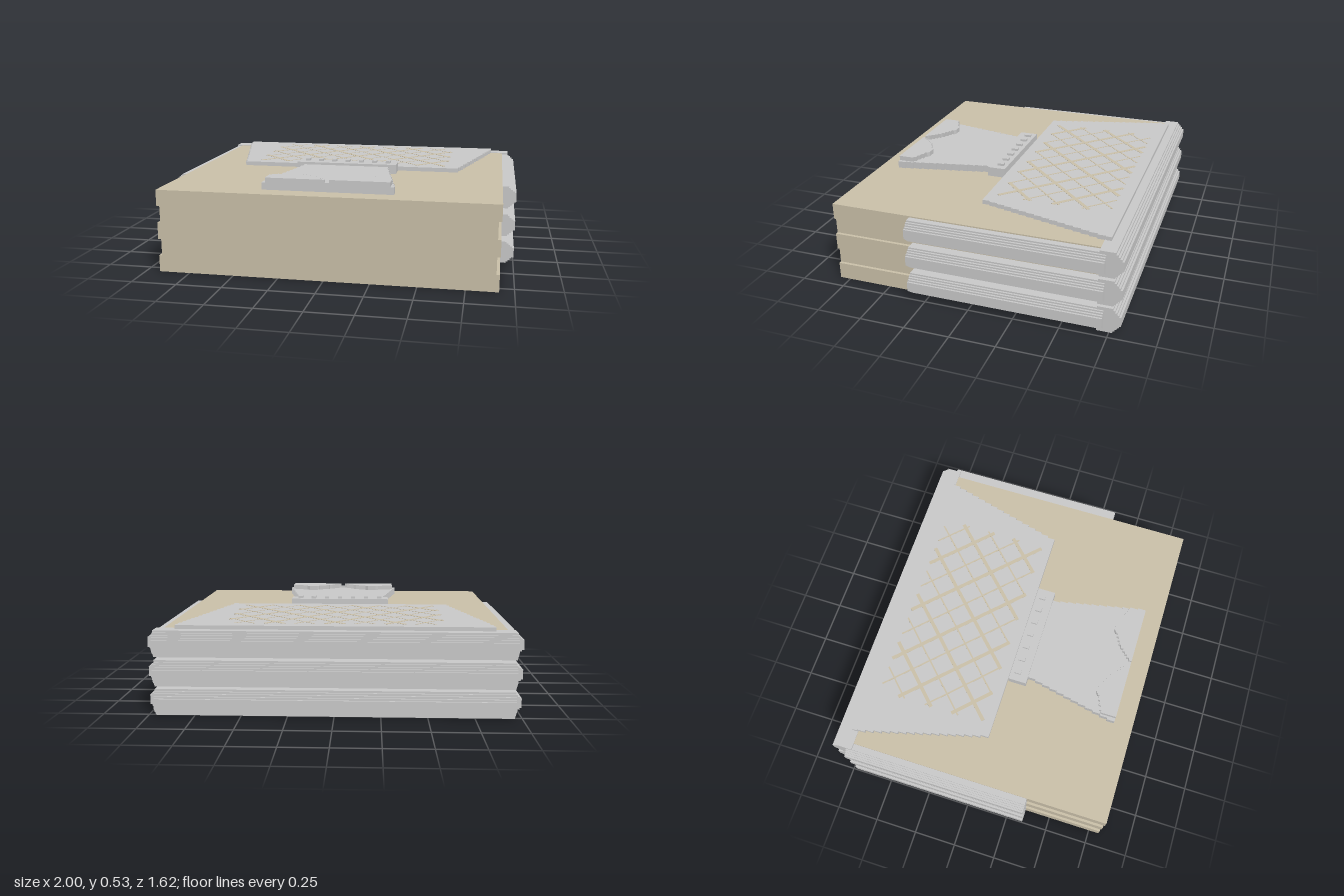
import * as THREE from 'three';

export function createModel() {
  const model = new THREE.Group();
  const tan = new THREE.MeshStandardMaterial({ color: 0xc9bfa8 });
  tan.name = 'tan';
  const grey = new THREE.MeshStandardMaterial({ color: 0xc8c8c8 });
  grey.name = 'light grey';

  const add = (name, geometry, material) => {
    const mesh = new THREE.Mesh(geometry, material);
    mesh.name = name;
    model.add(mesh);
    return mesh;
  };
  // Box given by its limits on each axis
  const box = (name, x0, x1, y0, y1, z0, z1, material) =>
    add(name, new THREE.BoxGeometry(x1 - x0, y1 - y0, z1 - z0)
      .translate((x0 + x1) / 2, (y0 + y1) / 2, (z0 + z1) / 2), material);

  const extrude = (points, depth) => new THREE.ExtrudeGeometry(
    new THREE.Shape(points.map(([x, y]) => new THREE.Vector2(x, y))),
    { depth, bevelEnabled: false });
  // Flat slab from an outline in x, z
  const slab = (name, outline, y0, y1) =>
    add(name, extrude(outline, y1 - y0).rotateX(Math.PI / 2).translate(0, y1, 0), grey);

  // Staircase edge running from (xa, za) to (xb, zb)
  const stairs = (xa, za, xb, zb, n) => {
    const points = [];
    for (let i = 0; i < n; i++) {
      const x = xa + (xb - xa) * (i + 0.5) / n;
      points.push([x, za + (zb - za) * i / n], [x, za + (zb - za) * (i + 1) / n]);
    }
    return points;
  };
  const mirrored = (half) => [...half, ...half.map(([x, z]) => [-x, z]).reverse()];

  // Body of five layers, every second one set in at the sides
  for (let i = 0; i < 5; i++) {
    const w = i % 2 ? 0.905 : 0.922;
    box('bodyLayer', -w, w, i * 0.093, (i + 1) * 0.093 - (i === 4 ? 0.003 : 0), -0.69, 0.81, tan);
  }

  // Rail cross-section: stepped outwards to a flat ridge
  const railProfile = (inner, outer, half) => {
    const steps = 5, flat = 0.027;
    const upper = [[inner, half]];
    for (let i = 0; i < steps; i++) {
      const x = outer - 0.042 * (1 - i / (steps - 1));
      const top = half + (flat - half) * i / (steps - 1);
      if (i) upper.push([x - 0.0105, top]);
      upper.push([x, top]);
    }
    return [...upper, ...upper.map(([x, y]) => [x, -y]).reverse()].reverse();
  };

  // Three tiers of rails round the back and both sides
  for (const y of [0.075, 0.233, 0.393]) {
    const back = add('backRail', extrude(railProfile(0.685, 0.81, 0.072), 1.92).translate(0, 0, -0.96), grey);
    back.rotation.y = Math.PI / 2;
    back.position.y = y;
    for (const side of [1, -1]) {
      const rail = add(side > 0 ? 'leftRail' : 'rightRail',
        extrude(railProfile(0.9, 1, 0.062), 1.07).translate(0, 0, -0.535), grey);
      rail.rotation.y = side > 0 ? 0 : Math.PI;
      rail.position.set(0, y, -0.185);
    }
  }

  // Large tapered plate on top
  slab('topPlate', mirrored([[0.85, -0.72], [0.85, -0.69],
    ...stairs(0.85, -0.69, 0.655, 0.04, 16)]), 0.455, 0.486);

  // Diagonal lattice on the plate, heavy and fine lines in turn
  const X = 0.59, Z0 = -0.65, Z1 = -0.02;
  for (const s of [1, -1]) {
    for (let k = -8; k <= 8; k++) {
      const c = s * 0.056 + k * 0.163;
      const ends = [s * (c - X), s * (c + X)];
      const a = Math.max(Z0, Math.min(...ends)), b = Math.min(Z1, Math.max(...ends));
      if (b - a < 0.03) continue;
      const z = (a + b) / 2;
      const line = add('latticeLine',
        new THREE.BoxGeometry((b - a) * Math.SQRT2, 0.002, k % 2 ? 0.009 : 0.021), tan);
      line.rotation.y = s * Math.PI / 4;
      line.position.set(c - s * z, 0.4862, z);
    }
  }

  // Crossbar with a row of studs
  box('crossbar', -0.3, 0.3, 0.455, 0.516, 0.045, 0.15, grey);
  for (let i = -3; i <= 3; i++) {
    const x = i * 0.082;
    box('stud', x - 0.013, x + 0.013, 0.51, 0.529, 0.067, 0.105, grey);
  }

  // Flared tail with two scalloped caps
  slab('tail', mirrored([[0.25, 0.1], [0.25, 0.15],
    ...stairs(0.25, 0.15, 0.365, 0.7, 12)]), 0.455, 0.502);
  const scallop = [[0.012, 0.7], [0.012, 0.685],
    ...stairs(0.02, 0.68, 0.08, 0.62, 4), ...stairs(0.08, 0.615, 0.17, 0.565, 4),
    [0.175, 0.555], [0.225, 0.555],
    ...stairs(0.23, 0.565, 0.34, 0.61, 4), [0.34, 0.61], [0.34, 0.7]];
  for (const side of [1, -1]) {
    slab('tailCap', scallop.map(([x, z]) => [x * side, z]), 0.495, 0.529);
  }
  box('tailCapJoin', -0.013, 0.013, 0.495, 0.512, 0.685, 0.7, grey);

  return model;
}
